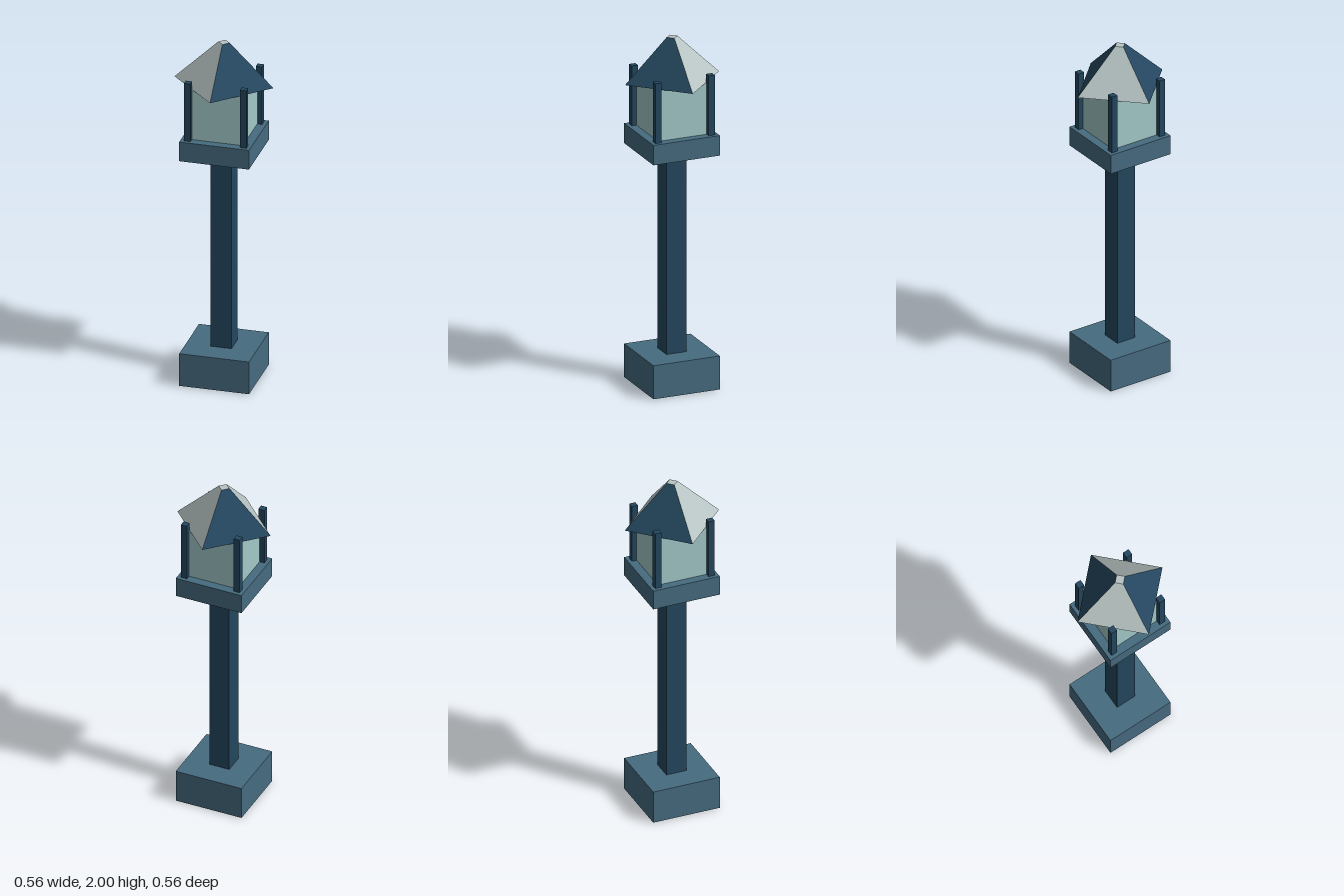
import * as THREE from 'three';

const material = (name, color) => {
  const m = new THREE.MeshStandardMaterial({ color });
  m.name = name;
  return m;
};

export function createModel() {
  const group = new THREE.Group();
  group.name = 'lampPost';
  const navy = material('navy metal', 0x24475f);
  const slate = material('slate blue', 0x466b80);
  const glass = material('pale aqua glass', 0xa3c9c9);
  const grey = material('light grey', 0xb8c5c4);

  // Square block, centred on (x, z), between two heights
  function block(name, mat, half, y0, y1, x = 0, z = 0) {
    const mesh = new THREE.Mesh(new THREE.BoxGeometry(half * 2, y1 - y0, half * 2), mat);
    mesh.name = name;
    mesh.position.set(x, (y0 + y1) / 2, z);
    group.add(mesh);
  }

  block('base', slate, 0.197, 0.002, 0.195);
  block('pole', navy, 0.059, 0, 1.36); // runs through the base to the ground
  block('platform', slate, 0.197, 1.35, 1.465);
  block('lantern', glass, 0.148, 1.46, 1.758);

  // Corner posts
  for (const sx of [-1, 1])
    for (const sz of [-1, 1])
      block('cornerPost', navy, 0.018, 1.46, 1.81, sx * 0.158, sz * 0.158);

  // Roof: truncated pyramid turned 45 degrees, panels alternating in colour
  const roofGeo = new THREE.CylinderGeometry(0.032, 0.279, 0.24, 4).toNonIndexed();
  roofGeo.computeVertexNormals();
  roofGeo.clearGroups();
  for (let i = 0; i < 4; i++) roofGeo.addGroup(i * 6, 6, i % 2);
  roofGeo.addGroup(24, 12, 1); // flat tip
  roofGeo.addGroup(36, 12, 0); // underside
  const roof = new THREE.Mesh(roofGeo, [navy, grey]);
  roof.name = 'roof';
  roof.position.y = 1.88;
  group.add(roof);

  return group;
}
